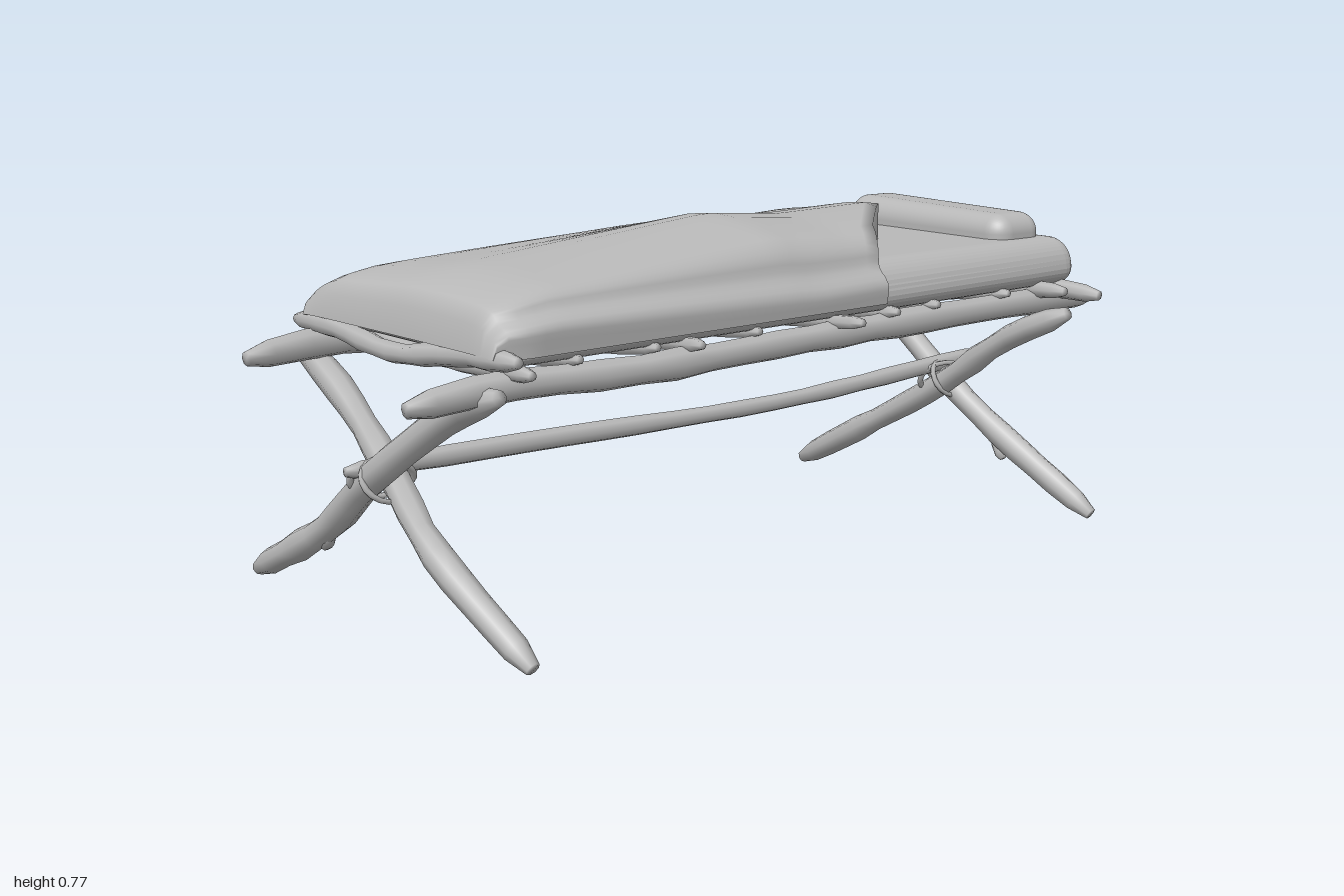
import * as THREE from 'three';
import { mergeVertices } from 'three/addons/utils/BufferGeometryUtils.js';
import { RoundedBoxGeometry } from 'three/addons/geometries/RoundedBoxGeometry.js';

// Smooth surface from a rule fn(i, j); faces out along di x dj.
function grid(nu, nv, fn) {
  const pos = [], idx = [];
  for (let j = 0; j <= nv; j++) for (let i = 0; i <= nu; i++) pos.push(...fn(i, j));
  for (let j = 0; j < nv; j++) for (let i = 0; i < nu; i++) {
    const a = j * (nu + 1) + i, b = a + nu + 1;
    idx.push(a, a + 1, b + 1, a, b + 1, b);
  }
  let g = new THREE.BufferGeometry();
  g.setAttribute('position', new THREE.Float32BufferAttribute(pos, 3));
  g.setIndex(idx);
  g = mergeVertices(g, 1e-5);
  g.computeVertexNormals();
  return g;
}

let seed = 7;
const rand = () => (seed = (seed * 16807) % 2147483647) / 2147483647;

// Knobbly branch along a path with blunt, tapered ends.
function branch(points, r, sides = 8, rings = 14) {
  const curve = new THREE.CatmullRomCurve3(points.map(p => new THREE.Vector3(...p)));
  const tip = Math.min(0.2, 1.7 * r / curve.getLength());
  const rows = [[0, 0], [0, 0.5], [tip, 0.9]];
  for (let k = 1; k < rings; k++) rows.push([tip + (1 - 2 * tip) * k / rings, 0.9 + 0.2 * rand()]);
  rows.push([1 - tip, 0.9], [1, 0.5], [1, 0]);
  return grid(sides, rows.length - 1, (i, j) => {
    const [t, k] = rows[j], c = curve.getPointAt(t), d = curve.getTangentAt(t);
    const ref = Math.abs(d.y) > 0.9 ? new THREE.Vector3(1, 0, 0) : new THREE.Vector3(0, 1, 0);
    const s = new THREE.Vector3().crossVectors(d, ref).normalize();
    const n = new THREE.Vector3().crossVectors(d, s);
    const a = (i % sides) / sides * Math.PI * 2;
    return c.addScaledVector(s, Math.cos(a) * r * k).addScaledVector(n, Math.sin(a) * r * k).toArray();
  });
}

// Piecewise linear lookup in ascending [key, value] pairs.
function lookup(table, x) {
  if (x <= table[0][0]) return table[0][1];
  for (let k = 1; k < table.length; k++) {
    const [x0, y0] = table[k - 1], [x1, y1] = table[k];
    if (x <= x1) return y0 + (y1 - y0) * (x - x0) / (x1 - x0);
  }
  return table[table.length - 1][1];
}

export function createModel() {
  const model = new THREE.Group();
  const grey = new THREE.MeshStandardMaterial({ color: 0xb8b8b8, side: THREE.DoubleSide });
  grey.name = 'plain grey';
  const add = (name, geometry) => {
    const m = new THREE.Mesh(geometry, grey);
    m.name = name;
    model.add(m);
    return m;
  };

  // Crossed legs
  add('frontLegOuter', branch([[-0.465, 0.02, 0.885], [-0.2, 0.165, 0.86], [0, 0.31, 0.87], [0.25, 0.48, 0.83], [0.38, 0.525, 0.83]], 0.032));
  add('frontLegInner', branch([[0.425, 0.014, 0.8], [0.15, 0.19, 0.835], [-0.01, 0.285, 0.81], [-0.25, 0.42, 0.78], [-0.44, 0.515, 0.78]], 0.031));
  add('backLegOuter', branch([[0.465, 0.022, -0.815], [0.2, 0.185, -0.78], [0.05, 0.285, -0.77], [-0.2, 0.45, -0.79], [-0.38, 0.525, -0.8]], 0.03));
  add('backLegInner', branch([[-0.425, 0.014, -0.72], [-0.17, 0.155, -0.72], [0.05, 0.285, -0.73], [0.28, 0.44, -0.72], [0.44, 0.515, -0.73]], 0.03));

  // Snapped twig stubs on the legs
  add('frontTwig', branch([[-0.19, 0.165, 0.86], [-0.22, 0.125, 0.855], [-0.23, 0.112, 0.855]], 0.016, 6, 3));
  add('backTwig', branch([[0.19, 0.18, -0.78], [0.215, 0.135, -0.775], [0.225, 0.12, -0.775]], 0.016, 6, 3));

  // Side rails and low spreader
  add('rightRail', branch([[-0.31, 0.52, -1], [-0.33, 0.52, -0.75], [-0.35, 0.515, -0.1], [-0.35, 0.508, 0.4], [-0.33, 0.525, 0.8], [-0.31, 0.515, 0.97]], 0.032, 8, 20));
  add('leftRail', branch([[0.315, 0.52, -0.97], [0.33, 0.53, -0.7], [0.34, 0.53, 0], [0.345, 0.525, 0.5], [0.32, 0.53, 0.8], [0.32, 0.515, 0.99]], 0.031, 8, 20));
  add('spreader', branch([[-0.02, 0.325, 0.92], [-0.01, 0.32, 0.5], [0.02, 0.312, -0.2], [0.02, 0.33, -0.7], [0.02, 0.34, -0.9]], 0.021, 8, 18));

  // Rope lashings at the leg crossings
  for (const [x, z, end] of [[-0.01, 0.84, 'front'], [0.045, -0.755, 'back']]) {
    for (const s of [-1, 1]) {
      const loop = add(end + 'Lashing', new THREE.TorusGeometry(0.046, 0.006, 6, 18));
      loop.position.set(x + 0.008 * s, 0.3, z);
      loop.rotation.set(0, Math.PI / 2 + 0.25 * s, 0.5 * s, 'ZYX');
      loop.scale.x = 1.4;
    }
  }

  // End bars resting on the rails
  add('frontBar', branch([[-0.42, 0.565, 0.79], [-0.25, 0.57, 0.8], [0, 0.552, 0.81], [0.2, 0.575, 0.8], [0.4, 0.588, 0.8]], 0.022));
  add('frontBarInner', branch([[-0.42, 0.575, 0.73], [0, 0.545, 0.75], [0.4, 0.56, 0.77]], 0.018));
  add('backBar', branch([[-0.38, 0.57, -0.85], [-0.1, 0.56, -0.84], [0.2, 0.56, -0.81], [0.46, 0.55, -0.82]], 0.023));
  add('backBarInner', branch([[-0.41, 0.56, -0.74], [0, 0.545, -0.75], [0.43, 0.565, -0.73]], 0.02));

  // Thin slats: z at the right end, z at the left end, reach to either side
  for (const [z0, z1, right, left] of [[0.6, 0.63, 0.35, 0.36], [0.47, 0.44, 0.36, 0.36], [0.26, 0.36, 0.36, 0.4],
    [0.15, 0.17, 0.37, 0.36], [-0.06, -0.06, 0.4, 0.43], [-0.2, -0.22, 0.35, 0.38], [-0.4, -0.36, 0.36, 0.37], [-0.56, -0.6, 0.36, 0.37]]) {
    add('slat', branch([[-right, 0.567, z0], [-0.12, 0.55, z0 * 0.7 + z1 * 0.3],
      [0.12, 0.545, z0 * 0.3 + z1 * 0.7], [left, 0.567, z1]], 0.017, 6, 8));
  }

  // Mattress: sides and foot lean inwards towards the top
  const mattressGeo = new RoundedBoxGeometry(0.735, 0.11, 1.67, 4, 0.05);
  const m = mattressGeo.attributes.position;
  for (let i = 0; i < m.count; i++) {
    const x = m.getX(i), z = m.getZ(i), t = m.getY(i) / 0.11 + 0.5;
    m.setX(i, x * (1 - t * (x < 0 ? 0.2 : z > 0 ? 0.16 : 0.08)));
    m.setZ(i, z > 0 ? z * (1 - 0.06 * t) : z);
  }
  mattressGeo.computeVertexNormals();
  mattressGeo.translate(0.007, 0.62, -0.035);
  add('mattress', mattressGeo);

  // Pillow: a soft box drawn in towards its ends
  const pillowGeo = new RoundedBoxGeometry(0.54, 0.11, 0.175, 4, 0.05);
  const p = pillowGeo.attributes.position;
  for (let i = 0; i < p.count; i++) {
    const e = p.getX(i) / 0.27;
    p.setZ(i, p.getZ(i) * (1 - 0.15 * e * e));
    p.setY(i, p.getY(i) * (1 - 0.1 * e));
  }
  const pillow = add('pillow', pillowGeo);
  pillow.position.set(0.02, 0.682, -0.755);
  pillow.rotation.y = -0.05;

  // Blanket: a lopsided dome over the mattress with one corner turned back diagonally
  const section = new THREE.CatmullRomCurve3([[-0.355, 0], [-0.364, 0.1], [-0.325, 0.36], [-0.24, 0.68], [-0.1, 0.83],
    [0.07, 1], [0.26, 0.85], [0.315, 0.66], [0.333, 0.42], [0.366, 0.22], [0.366, 0]].map(q => new THREE.Vector3(q[0], q[1], 0)));
  const hem = [[-0.36, -0.86], [-0.31, -0.83], [-0.18, -0.65], [0.05, -0.5], [0.25, -0.27], [0.34, -0.2]];
  const ridge = [[-0.86, 0.7], [-0.67, 0.735], [-0.43, 0.765], [-0.15, 0.76], [0.06, 0.777], [0.4, 0.745],
    [0.68, 0.718], [0.75, 0.7], [0.79, 0.685], [0.812, 0.65], [0.82, 0.59]];
  const NU = 32, NV = 30;
  add('blanket', grid(NU, NV, (i, j) => {
    const c = section.getPoint(i / NU);
    const steps = [0.82, 0.812, 0.79, 0.75];
    const t = Math.max(0, (j - 3) / (NV - 4));
    const z = j < 4 ? steps[j] : 0.75 + (lookup(hem, c.x) - 0.75) * Math.min(1, t);
    const flatten = 1 - 0.5 * Math.min(1, Math.abs(z) / 0.8);
    let y = 0.585 + Math.max(0, c.y) ** flatten * (lookup(ridge, z) - 0.585);
    if (j === NV) y = Math.min(y, 0.65);
    const inset = z > 0.75 ? 1 - (z - 0.75) * 0.8 : 1;
    return [c.x * inset, y, z];
  }));

  return model;
}
